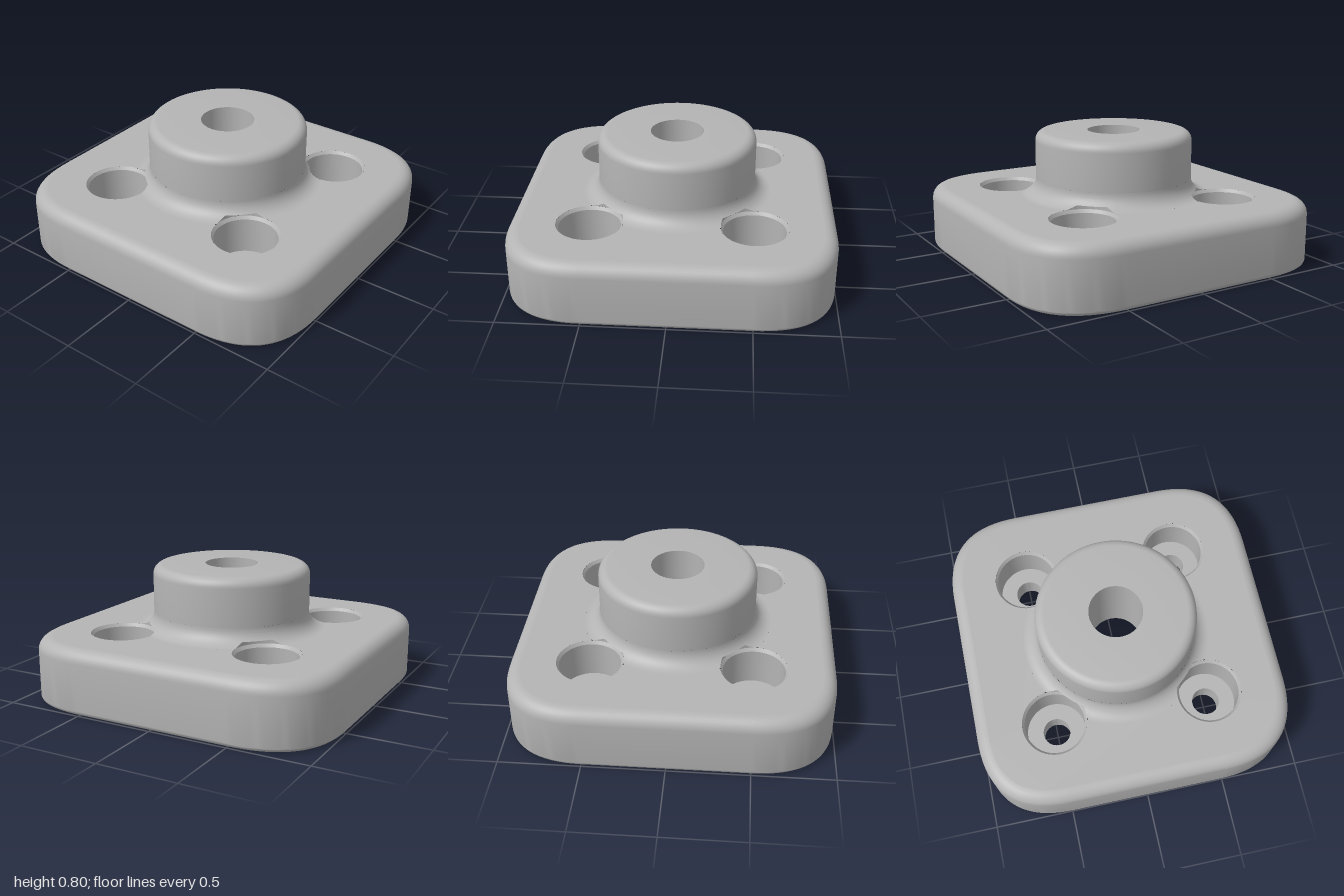
import * as THREE from 'three';
import { toCreasedNormals } from 'three/addons/utils/BufferGeometryUtils.js';

const PLATE_TOP = 0.4, BOSS_R = 0.5, FILLET = 0.1;
const HOLE_AT = 0.5, RIM_R = 0.205, BOLT_R = 0.0875;
const BORE_R = 0.167, RECESS_R = 0.33;
const HOLE_DIST = HOLE_AT * Math.SQRT2;
const FOOT_R = BOSS_R + FILLET;

// Closed surface through loops of points, listed from the bottom up
function loft(rows) {
  const n = rows[0].length, pos = [], index = [];
  rows.forEach(row => row.forEach(p => pos.push(...p)));
  for (let i = 0; i < rows.length - 1; i++) {
    for (let j = 0; j < n; j++) {
      const k = (j + 1) % n, a = i * n + j, b = i * n + k;
      index.push(a, b, a + n, b, b + n, a + n);
    }
  }
  const geo = new THREE.BufferGeometry();
  geo.setAttribute('position', new THREE.Float32BufferAttribute(pos, 3));
  geo.setIndex(index);
  return toCreasedNormals(geo, 0.5);
}

function lathe(points, segments) {
  const pts = points.map(([r, y]) => new THREE.Vector2(r, y));
  return toCreasedNormals(new THREE.LatheGeometry(pts, segments), 0.5);
}

// Square with soft parabolic corners, inset by d
function outline(d) {
  const s = 1 - d, c = 0.5, steps = 20, pts = [];
  for (let q = 0; q < 4; q++) {
    const cos = Math.round(Math.cos(q * Math.PI / 2)), sin = Math.round(Math.sin(q * Math.PI / 2));
    for (let i = 0; i <= steps; i++) {
      const t = i / steps;
      const x = s - (s - c) * t * t, y = s - (s - c) * (1 - t) * (1 - t);
      pts.push(new THREE.Vector2(x * cos - y * sin, x * sin + y * cos));
    }
  }
  return pts;
}

// Quarter-round points from angle 0 to 90 degrees
function quarter(fn, steps = 8) {
  return Array.from({ length: steps + 1 }, (_, i) => {
    const a = i / steps * Math.PI / 2;
    return fn(Math.sin(a), Math.cos(a));
  });
}

function circle(x, y, r) {
  const path = new THREE.Path();
  path.absarc(x, y, r, 0, Math.PI * 2, true);
  return path;
}

export function createModel() {
  const group = new THREE.Group();
  const grey = new THREE.MeshStandardMaterial({ color: 0xb4b4b4 });
  grey.name = 'plain grey';
  const add = (name, geo, x = 0, z = 0) => {
    const mesh = new THREE.Mesh(geo, grey);
    mesh.name = name;
    mesh.position.set(x, 0, z);
    group.add(mesh);
  };
  const corners = [[1, 1], [-1, 1], [-1, -1], [1, -1]].map(c => c.map(v => v * HOLE_AT));

  // Plate sides with a small lower and larger upper rounding
  const lower = 0.03, upper = 0.08;
  const profile = [
    ...quarter((s, c) => [lower * (1 - s), lower * (1 - c)]),
    ...quarter((s, c) => [upper * (1 - c), PLATE_TOP - upper * (1 - s)]),
  ];
  add('plateSides', loft(profile.map(([d, y]) => outline(d).map(p => [p.x, y, -p.y]))));

  // Plate underside
  const under = new THREE.Shape(outline(lower));
  under.holes.push(circle(0, 0, RECESS_R), ...corners.map(([x, y]) => circle(x, y, BOLT_R)));
  add('plateUnderside', new THREE.ShapeGeometry(under, 64).rotateX(Math.PI / 2));

  // Plate top, opened along the merged outline of the boss foot and bolt holes
  const along = (FOOT_R ** 2 + HOLE_DIST ** 2 - RIM_R ** 2) / (2 * HOLE_DIST);
  const across = Math.sqrt(FOOT_R ** 2 - along ** 2);
  const footAngle = Math.atan2(across, along);
  const rimAngle = Math.atan2(across, along - HOLE_DIST);
  const opening = new THREE.Path();
  corners.forEach(([x, y], q) => {
    const diag = Math.PI / 4 + q * Math.PI / 2;
    opening.absarc(x, y, RIM_R, diag - rimAngle, diag + rimAngle, false);
    opening.absarc(0, 0, FOOT_R, diag + footAngle, diag + Math.PI / 2 - footAngle, false);
  });
  const top = new THREE.Shape(outline(upper));
  top.holes.push(opening);
  const topGeo = new THREE.ShapeGeometry(top, 48).rotateX(-Math.PI / 2);
  add('plateTop', topGeo.translate(0, PLATE_TOP, 0));

  // Boss fillet, undercut where the counterbores run into it
  const steps = 12, around = 288, maxCut = Math.acos(0.75);
  const rows = Array.from({ length: steps + 3 }, () => []);
  for (let j = 0; j < around; j++) {
    const theta = j / around * Math.PI * 2;
    const phi = (theta % (Math.PI / 2)) - Math.PI / 4;
    const disc = RIM_R ** 2 - (HOLE_DIST * Math.sin(phi)) ** 2;
    const near = disc > 0 ? HOLE_DIST * Math.cos(phi) - Math.sqrt(disc) : FOOT_R;
    const cutR = Math.min(FOOT_R, near);
    const start = Math.min(maxCut, Math.asin(Math.min(1, (FOOT_R - cutR) / FILLET)));
    const height = a => PLATE_TOP + FILLET * (1 - Math.cos(a));
    const put = (row, r, y) => rows[row].push([r * Math.cos(theta), y, -r * Math.sin(theta)]);
    put(0, cutR, PLATE_TOP);
    put(1, cutR, height(start));
    for (let i = 0; i <= steps; i++) {
      const a = start + (Math.PI / 2 - start) * i / steps;
      put(i + 2, FOOT_R - FILLET * Math.sin(a), height(a));
    }
  }
  add('bossFillet', loft(rows));

  // Boss wall, rounded top, through bore and recess underneath
  const round = 0.06, bossTop = 0.8;
  add('bossAndBore', lathe([
    [BOSS_R, PLATE_TOP + FILLET],
    ...quarter((s, c) => [BOSS_R - round * (1 - c), bossTop - round * (1 - s)]),
    [BORE_R, bossTop], [BORE_R, 0.25], [RECESS_R, 0.25], [RECESS_R, 0],
  ], 96));

  // Counterbored bolt holes
  const bolt = lathe([
    [RIM_R, PLATE_TOP], [0.19, 0.38], [0.19, 0.15], [BOLT_R, 0.15], [BOLT_R, 0],
  ], 64);
  corners.forEach(([x, z]) => add('boltHole', bolt, x, z));

  return group;
}
